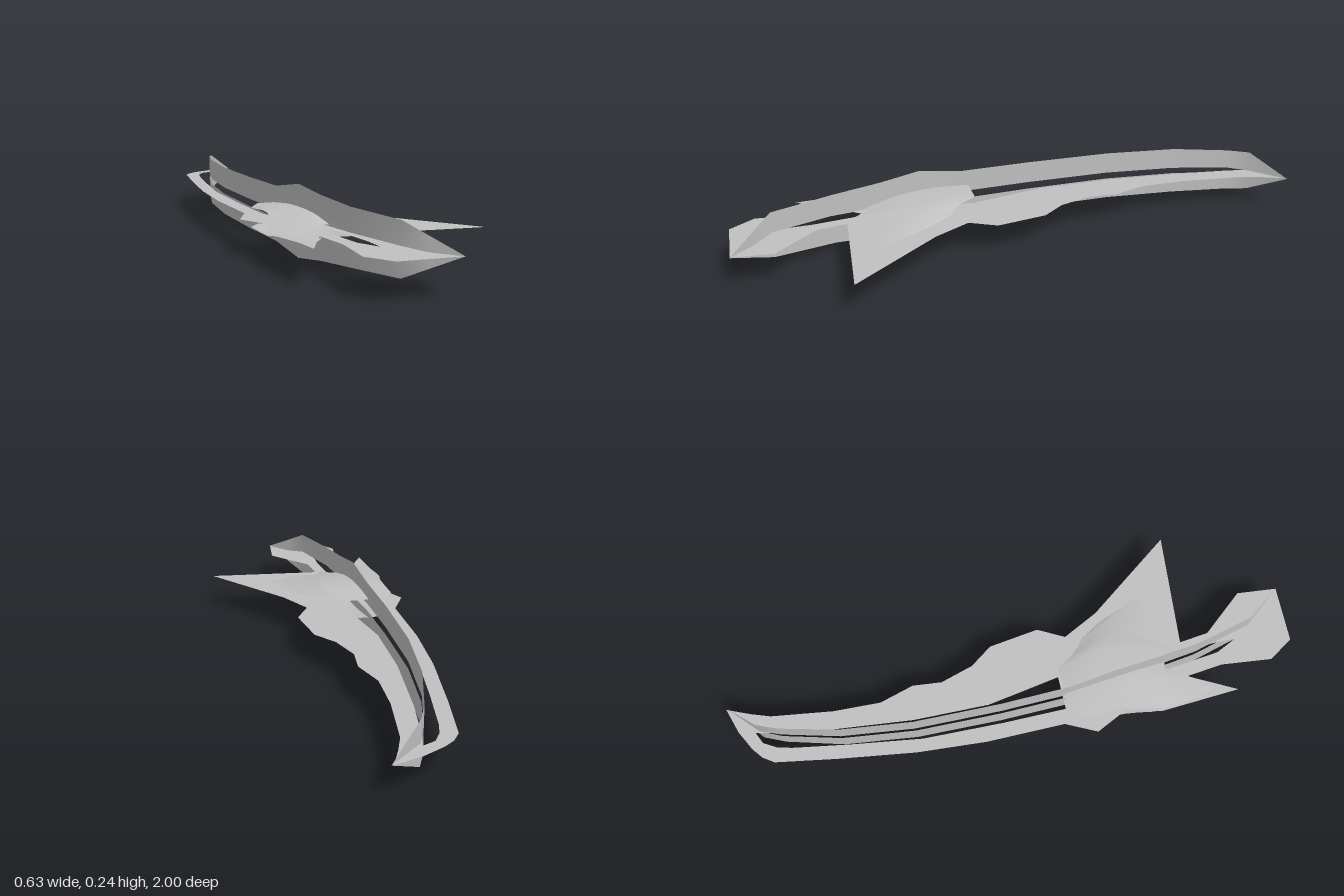
import * as THREE from 'three';

const MID = 0.123; // height of the symmetry plane

// Grid surface from rows of [x, y, z] points; optional mirroring in y about zero
function loft(rows, mirror = 1) {
  const n = rows[0].length, index = [];
  const pos = rows.flat().flatMap(([x, y, z]) => [x, y * mirror, z]);
  for (let i = 0; i < rows.length - 1; i++) {
    for (let j = 0; j < n - 1; j++) {
      const a = i * n + j, b = a + 1, c = a + n, d = c + 1;
      if (mirror > 0) index.push(a, b, c, b, d, c);
      else index.push(a, c, b, b, c, d);
    }
  }
  const g = new THREE.BufferGeometry();
  g.setAttribute('position', new THREE.Float32BufferAttribute(pos, 3));
  g.setIndex(index);
  g.computeVertexNormals();
  return g;
}

const outline = (pts) => pts.map(([x, z]) => new THREE.Vector2(x, -z));

export function createModel() {
  const group = new THREE.Group();
  const steel = new THREE.MeshStandardMaterial({ color: 0xc0c0c0, side: THREE.DoubleSide });
  steel.name = 'steel grey';
  const add = (name, geometry) => {
    const mesh = new THREE.Mesh(geometry, steel);
    mesh.name = name;
    mesh.position.y = MID;
    group.add(mesh);
  };

  // Horizontal plate: curved blade, winged guard, grip and pommel
  const plate = new THREE.Shape(outline([
    [0.21, -1], [0.115, -0.98], [0.04, -0.95], [0, -0.925], [-0.03, -0.89],
    [-0.09, -0.685], [-0.16, -0.42], [-0.205, -0.18], [-0.235, 0.095],
    [-0.3, 0.195], [-0.26, 0.31], [-0.305, 0.435], [-0.32, 0.715], [-0.215, 0.565],
    [-0.215, 0.695], [-0.255, 0.87], [-0.21, 0.965], [-0.01, 0.998], [0.02, 0.86],
    [-0.087, 0.695], [-0.087, 0.59], [0.315, 0.68], [0.12, 0.345], [0.07, 0.21],
    [0.13, 0.125], [0.125, -0.055], [0.077, -0.14], [0.055, -0.26], [0.077, -0.36],
    [0.055, -0.485], [0.08, -0.65], [0.135, -0.86], [0.167, -0.925],
  ]));
  // Long slot down the middle
  plate.holes.push(new THREE.Path(outline([
    [0.095, -0.925], [0.05, -0.91], [0.02, -0.87], [0, -0.82], [-0.055, -0.63],
    [-0.12, -0.385], [-0.16, -0.1], [-0.185, 0.125], [-0.167, 0.5], [-0.167, 0.7],
    [-0.14, 0.78], [-0.13, 0.7], [-0.127, 0.5], [-0.065, 0.135], [-0.08, -0.13],
    [-0.045, -0.395], [0.02, -0.685], [0.065, -0.845],
  ])));
  add('bladePlate', new THREE.ShapeGeometry(plate).rotateX(-Math.PI / 2));

  // Upright curved ribbon: stations of x, z, outer half height, slot half height
  const stations = [
    [-0.008, 1, 0, 0], [-0.065, 0.91, 0.047, 0], [-0.11, 0.84, 0.084, 0.01],
    [-0.142, 0.62, 0.092, 0.014], [-0.145, 0.45, 0.104, 0.014], [-0.147, 0.31, 0.121, 0.014],
    [-0.143, 0.15, 0.094, 0.014], [-0.12, -0.1, 0.092, 0.013], [-0.08, -0.4, 0.09, 0.012],
    [-0.02, -0.65, 0.088, 0.011], [0.055, -0.84, 0.079, 0.009], [0.095, -0.91, 0.074, 0],
    [0.217, -1, 0, 0],
  ];
  const rows = stations.map(([x, z, h, s]) => [[x, s, z], [x, h, z]]);
  add('upperRibbon', loft(rows));
  add('lowerRibbon', loft(rows, -1));

  // Domed guard shell: columns from left to right, each running back to front
  const columns = [
    [[-0.25, 0.155, 0.175], [-0.26, 0.16, 0.31], [-0.302, 0.135, 0.45], [-0.295, 0.13, 0.635]],
    [[-0.2, 0.158, 0.12], [-0.19, 0.168, 0.25], [-0.2, 0.162, 0.4], [-0.215, 0.138, 0.56]],
    [[-0.12, 0.158, 0.13], [-0.12, 0.172, 0.27], [-0.14, 0.165, 0.4], [-0.165, 0.143, 0.495]],
    [[-0.045, 0.158, 0.14], [-0.04, 0.173, 0.28], [-0.06, 0.161, 0.42], [-0.12, 0.142, 0.515]],
    [[-0.01, 0.156, 0.21], [0, 0.165, 0.3], [-0.03, 0.154, 0.43], [-0.1, 0.132, 0.57]],
    [[0.01, 0.153, 0.235], [0.02, 0.158, 0.32], [0, 0.15, 0.44], [-0.07, 0.136, 0.52]],
    [[0.035, 0.148, 0.255], [0.05, 0.15, 0.34], [0.04, 0.145, 0.45], [0.03, 0.132, 0.555]],
    [[0.035, 0.148, 0.255], [0.07, 0.146, 0.36], [0.075, 0.14, 0.46], [0.07, 0.134, 0.515]],
    [[0.035, 0.148, 0.255], [0.085, 0.14, 0.37], [0.11, 0.135, 0.46], [0.135, 0.13, 0.52]],
  ].map((col) => col.map(([x, y, z]) => [x, y - MID, z]));
  // Smooth each column with a curve
  const smooth = columns.map((col) => new THREE.CatmullRomCurve3(
    col.map((p) => new THREE.Vector3(...p))).getPoints(9).map((p) => p.toArray()));
  // Columns go left to right, so reverse them to face outward
  const faced = smooth.reverse();
  add('upperGuardShell', loft(faced));
  add('lowerGuardShell', loft(faced, -1));

  return group;
}
